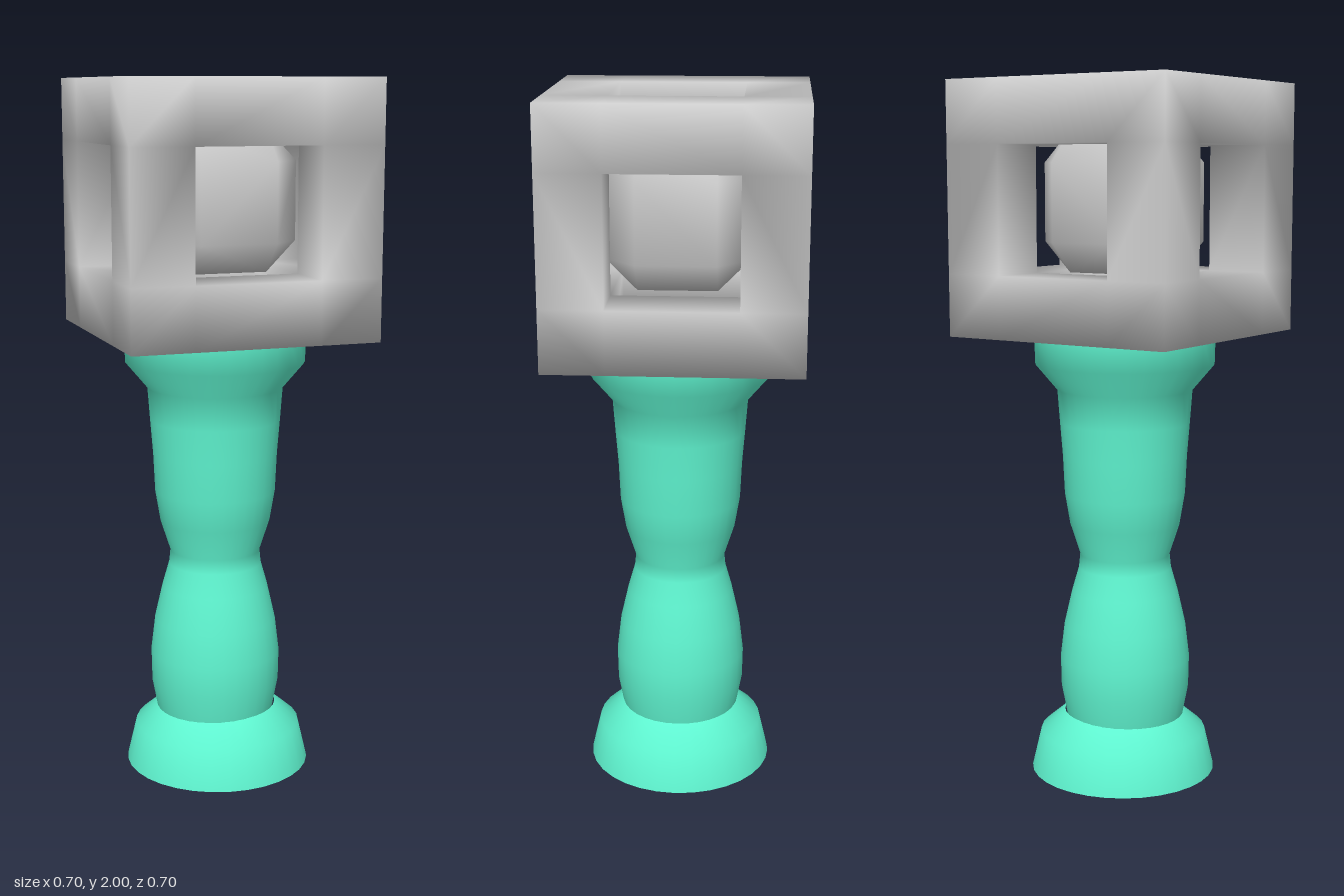
import * as THREE from 'three';
import { mergeVertices } from 'three/addons/utils/BufferGeometryUtils.js';
import { ConvexGeometry } from 'three/addons/geometries/ConvexGeometry.js';

const grey = new THREE.MeshStandardMaterial({ color: 0xcccccc });
const teal = new THREE.MeshStandardMaterial({ color: 0x5ff5d0 });

function add(group, name, geometry, material, x = 0, y = 0, z = 0) {
  const mesh = new THREE.Mesh(geometry, material);
  mesh.name = name;
  mesh.position.set(x, y, z);
  group.add(mesh);
  return mesh;
}

// share corners so the shading runs smoothly over the edges
function smooth(geometry) {
  geometry.deleteAttribute('normal');
  geometry.deleteAttribute('uv');
  const merged = mergeVertices(geometry, 1e-4);
  merged.computeVertexNormals();
  return merged;
}

function lathe(profile) {
  return new THREE.LatheGeometry(profile.map(([r, y]) => new THREE.Vector2(r, y)), 32);
}

// cube frame of twelve square bars: a 3x3x3 cell grid with the middles left open
function cageGeometry(outer, inner) {
  const planes = [-outer, -inner, inner, outer];
  const solid = (c) => c.every((i) => i >= 0 && i <= 2) && c.filter((i) => i === 1).length < 2;
  const positions = [];
  for (let n = 0; n < 27; n++) {
    const cell = [n % 3, Math.floor(n / 3) % 3, Math.floor(n / 9)];
    if (!solid(cell)) continue;
    for (let axis = 0; axis < 3; axis++) {
      for (const side of [0, 1]) {
        const next = cell.slice();
        next[axis] += side ? 1 : -1;
        if (solid(next)) continue;
        const u = (axis + 1) % 3, v = (axis + 2) % 3;
        const corner = (a, b) => {
          const p = [0, 0, 0];
          p[axis] = planes[cell[axis] + side];
          p[u] = planes[cell[u] + a];
          p[v] = planes[cell[v] + b];
          return p;
        };
        const quad = [corner(0, 0), corner(1, 0), corner(1, 1), corner(0, 1)];
        if (!side) quad.reverse();
        for (const i of [0, 1, 2, 0, 2, 3]) positions.push(...quad[i]);
      }
    }
  }
  const geometry = new THREE.BufferGeometry();
  geometry.setAttribute('position', new THREE.Float32BufferAttribute(positions, 3));
  return smooth(geometry);
}

// cube with wide bevels on all edges and corners
function beveledBall(a, b) {
  const points = [];
  for (const sx of [-1, 1]) for (const sy of [-1, 1]) for (const sz of [-1, 1]) {
    for (const [x, y, z] of [[b, a, a], [a, b, a], [a, a, b]]) {
      points.push(new THREE.Vector3(sx * x, sy * y, sz * z));
    }
  }
  return smooth(new ConvexGeometry(points));
}

export function createModel() {
  const model = new THREE.Group();
  model.name = 'cagedBallPillar';

  // flared foot and its underside
  add(model, 'foot', lathe([[0.27, 0], [0.243, 0.115], [0.172, 0.175]]), teal, 0.004);
  add(model, 'footUnderside', new THREE.CircleGeometry(0.27, 32), teal, 0.004).rotation.x = Math.PI / 2;

  // waisted shaft with a flared collar
  add(model, 'shaft', lathe([
    [0.172, 0.165], [0.188, 0.25], [0.19, 0.34], [0.178, 0.44], [0.155, 0.54],
    [0.135, 0.61], [0.131, 0.65], [0.16, 0.74], [0.175, 0.83], [0.18, 0.94],
    [0.188, 1.04], [0.195, 1.135], [0.258, 1.21], [0.26, 1.292],
  ]), teal, -0.003);
  add(model, 'collarTop', new THREE.CircleGeometry(0.26, 32), teal, -0.003, 1.292).rotation.x = -Math.PI / 2;

  // open cage with a loose ball inside
  add(model, 'cage', cageGeometry(0.352, 0.177), grey, 0, 1.648);
  add(model, 'ball', beveledBall(0.11, 0.196), grey, 0, 1.667);
  return model;
}
